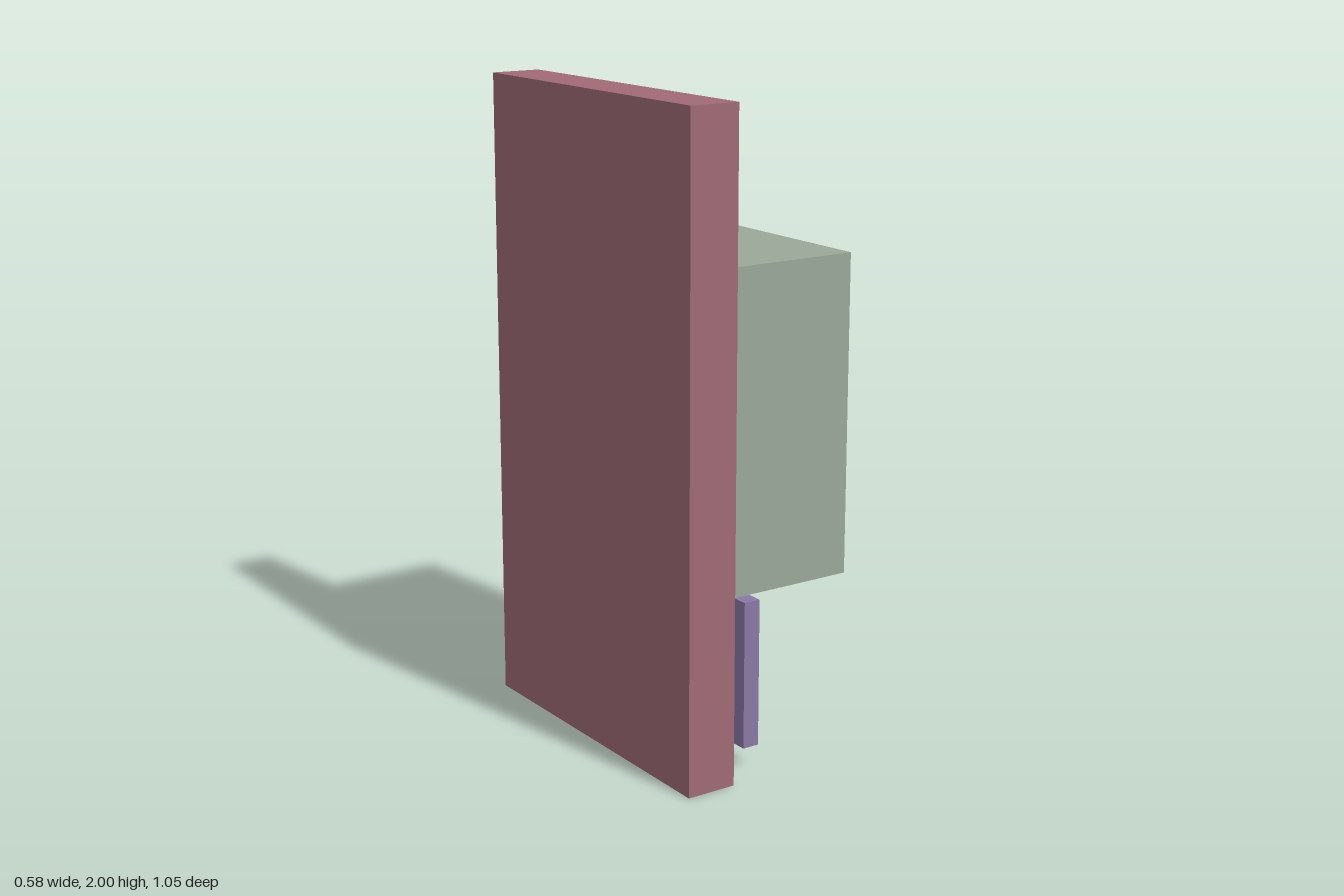
import * as THREE from 'three';

// Box given by its minimum and maximum corners
function block(name, color, min, max) {
  const size = max.map((v, i) => v - min[i]);
  const mesh = new THREE.Mesh(
    new THREE.BoxGeometry(...size),
    new THREE.MeshStandardMaterial({ color })
  );
  mesh.position.set(...min.map((v, i) => (v + max[i]) / 2));
  mesh.name = name;
  return mesh;
}

export function createModel() {
  const model = new THREE.Group();
  model.name = 'panelWithBlocks';
  model.add(
    // Tall upright slab
    block('backPanel', 0xa06a76, [-0.291, 0, -0.527], [-0.131, 2, 0.527]),
    // Large block floating beside the slab
    block('upperBlock', 0x9aa899, [-0.115, 0.57, -0.474], [0.29, 1.54, 0.5]),
    // Thin plate below the block
    block('lowerPlate', 0x8a78a4, [-0.048, 0.072, -0.43], [0.006, 0.53, 0.461])
  );
  return model;
}
